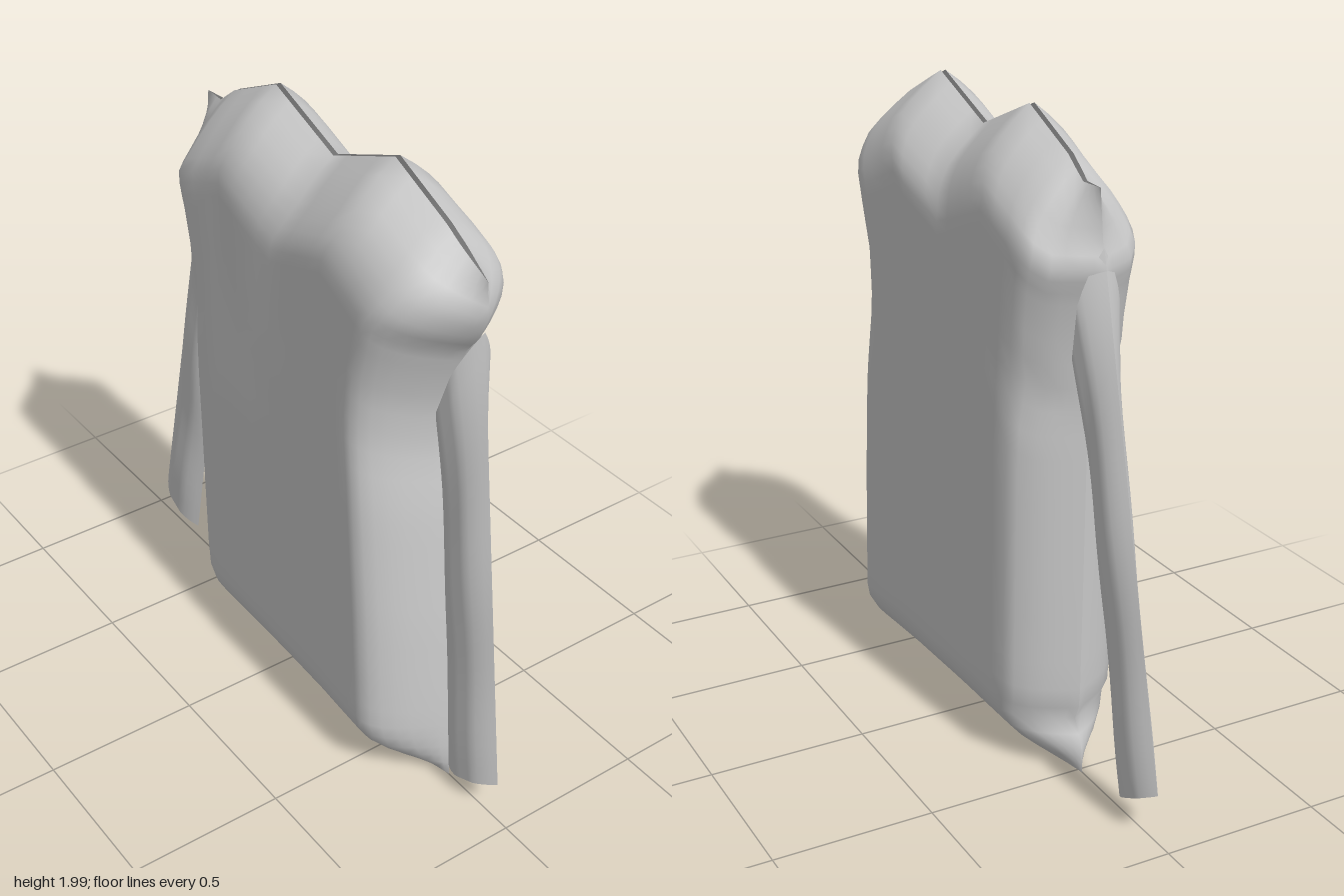
import * as THREE from 'three';

// piecewise-linear lookup in [[key, value], ...]
function lookup(table, k) {
  if (k <= table[0][0]) return table[0][1];
  for (let i = 1; i < table.length; i++) {
    const [a, va] = table[i - 1], [b, vb] = table[i];
    if (k <= b) return va + (vb - va) * (k - a) / (b - a);
  }
  return table[table.length - 1][1];
}

// side edges as [y, x], neck and shoulder line as [x, y], fullness as [x, z]
const rightEdge = [[0, -0.52], [0.09, -0.51], [0.17, -0.47], [0.22, -0.497], [0.6, -0.505], [1.19, -0.515],
  [1.45, -0.545], [1.62, -0.6], [1.69, -0.578], [1.84, -0.56]];
const leftEdge = [[0, 0.725], [0.3, 0.712], [0.6, 0.69], [1, 0.65], [1.22, 0.615], [1.4, 0.63],
  [1.58, 0.69], [1.65, 0.745], [1.73, 0.78], [1.8, 0.77]];
const topLine = [[-0.56, 1.84], [-0.48, 1.84], [-0.4, 1.9], [-0.18, 2], [0.1, 1.89], [0.38, 2], [0.6, 1.9], [0.77, 1.8]];
const fullness = [[-0.5, 0.192], [0, 0.2], [0.3, 0.212], [0.52, 0.23], [0.78, 0.22]];
const heightScale = [[0, 0.97], [0.3, 0.98], [1, 1], [1.4, 0.97], [1.75, 0.95], [2, 0.95]];

const puff = (d, width) => 1 - (1 - Math.min(Math.max(d / width, 0), 1)) ** 2;

// one cloth sheet from point(u, v); u runs to +x, v runs upwards
function sheet(point, us, vs, sign) {
  const pos = [], index = [], n = us.length;
  for (const v of vs) for (const u of us) {
    const [x, y, z] = point(u, v);
    pos.push(x, y, z);
  }
  for (let j = 0; j < vs.length - 1; j++) for (let i = 0; i < n - 1; i++) {
    const a = j * n + i, b = a + 1, c = a + n, d = c + 1;
    if (sign > 0) index.push(a, b, d, a, d, c);
    else index.push(a, d, b, a, c, d);
  }
  const geo = new THREE.BufferGeometry();
  geo.setAttribute('position', new THREE.Float32BufferAttribute(pos, 3));
  geo.setIndex(index);
  geo.computeVertexNormals();
  return geo;
}

export function createModel() {
  const group = new THREE.Group();
  const cloth = new THREE.MeshStandardMaterial({ color: 0xcccccc, side: THREE.DoubleSide });
  cloth.name = 'light grey cloth';
  const add = (geo, name) => {
    const mesh = new THREE.Mesh(geo, cloth);
    mesh.name = name;
    group.add(mesh);
  };

  // columns follow the corners of the neckline, denser towards the sides
  const us = [-0.56, -0.545, -0.525, -0.505, -0.48, -0.44, -0.4, -0.33, -0.25, -0.18, -0.11, -0.04, 0.03, 0.1, 0.17,
    0.24, 0.31, 0.38, 0.45, 0.52, 0.57, 0.6, 0.63, 0.66, 0.69, 0.715, 0.74, 0.757, 0.77].map(x => (x + 0.56) / 1.33);
  // rows are denser at the hem and the shoulders
  const vs = [0, 0.012, 0.025, 0.045, 0.065, 0.09, 0.115, 0.15];
  for (let v = 0.2; v < 0.8; v += 0.04) vs.push(v);
  for (let v = 0.82; v < 0.995; v += 0.02) vs.push(v);
  vs.push(1);

  // puffed body panels with an open neck and hem
  const bodyPoint = sign => (u, v) => {
    const yEdge = v * 1.84;
    const l = lookup(rightEdge, yEdge), r = lookup(leftEdge, yEdge);
    const x = l + (r - l) * u;
    const top = lookup(topLine, -0.56 + 1.33 * u);
    const y = 0.008 + v * (top - 0.008);
    const side = Math.min(puff(x - l, 0.17), puff(r - x, 0.17));
    const ends = puff(top - y, 0.28) * puff(y, 0.22);
    const folds = 0.005 * Math.sin(x * 17 + y * 2) * Math.max(0, y - 1.2);
    const armpit = 0.03 * Math.exp(-(((x + 0.46) / 0.07) ** 2) - ((y - 1.24) / 0.06) ** 2);
    const gap = 0.008 * Math.min(1, Math.min(x - l, r - x) / 0.1);
    const z = gap + (lookup(fullness, x) * lookup(heightScale, y) - 0.008 + folds - armpit) * side * ends;
    return [x, y, sign * z];
  };
  add(sheet(bodyPoint(1), us, vs, 1), 'frontPanel');
  add(sheet(bodyPoint(-1), us, vs, -1), 'backPanel');

  // flat sleeves: lens-shaped tubes, open at the cuff; corners run from -x to +x
  const sleeves = [
    { name: 'rightSleeve', cuff: [[-0.935, 0.16], [-0.735, 0.055]], arm: [[-0.585, 1.68], [-0.512, 1.2]], lean: 0 },
    { name: 'leftSleeve', cuff: [[0.722, 0.045], [0.93, 0.12]], arm: [[0.615, 1.23], [0.768, 1.65]], lean: -0.018 },
  ];
  const across = Array.from({ length: 13 }, (_, i) => i / 12);
  const along = Array.from({ length: 21 }, (_, i) => i / 20);
  for (const { name, cuff, arm, lean } of sleeves) {
    for (const sign of [1, -1]) {
      const point = (u, v) => {
        const mix = (k, e) => cuff[e][k] + (arm[e][k] - cuff[e][k]) * v;
        const thick = 0.034 + 0.03 * v ** 4 + 0.004 * Math.sin(v * 14);
        const z = sign * thick * Math.min(1, 4.5 * u * (1 - u)) + lean * u * (1 - v);
        return [mix(0, 0) + (mix(0, 1) - mix(0, 0)) * u, mix(1, 0) + (mix(1, 1) - mix(1, 0)) * u, z];
      };
      add(sheet(point, across, along, sign), name + (sign > 0 ? 'Front' : 'Back'));
    }
  }
  return group;
}
